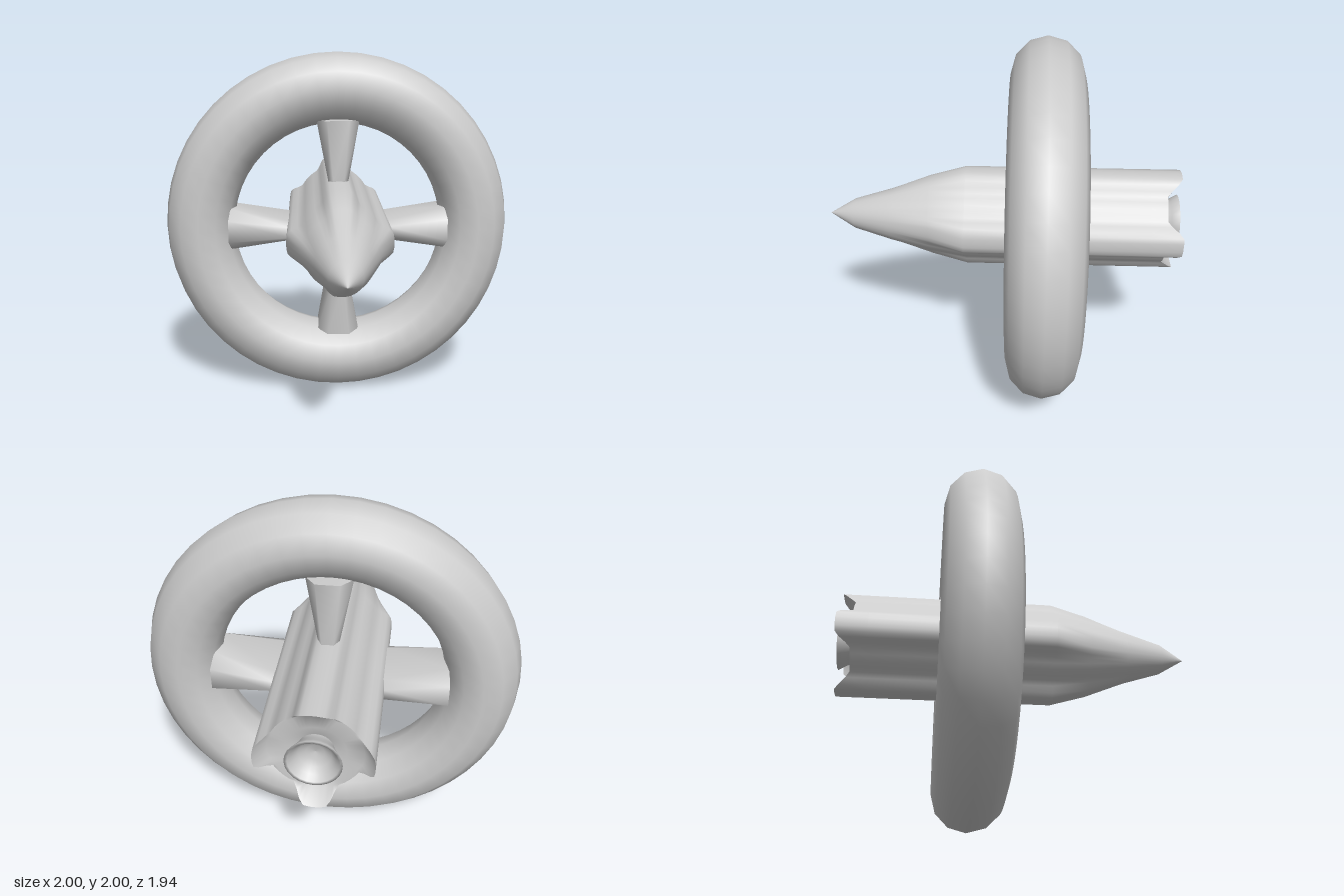
import * as THREE from 'three';

const material = new THREE.MeshStandardMaterial({ color: 0xcccccc, side: THREE.DoubleSide });
const rad = THREE.MathUtils.degToRad;

// Joins closed cross-sections, given from +z to -z and counterclockwise
function loft(rows) {
  const n = rows[0].length, index = [];
  for (let i = 0; i < rows.length - 1; i++) {
    for (let j = 0; j < n; j++) {
      const k = (j + 1) % n;
      const a = i * n + j, b = i * n + k, c = a + n, d = b + n;
      index.push(a, c, b, b, c, d);
    }
  }
  const geometry = new THREE.BufferGeometry();
  geometry.setAttribute('position', new THREE.Float32BufferAttribute(rows.flat(2), 3));
  geometry.setIndex(index);
  geometry.computeVertexNormals();
  return geometry;
}

function addMesh(parent, name, geometry) {
  const mesh = new THREE.Mesh(geometry, material);
  mesh.name = name;
  parent.add(mesh);
  return mesh;
}

// Round hull section with four ridges; each sample is an angle from a ridge axis
const ridgeAngles = [-45, -36, -28, -22, -16, -11, -5, 0, 5, 11, 16, 22, 28, 36];
function hullSection(base, top, side, zAt) {
  const row = [];
  for (let q = 0; q < 4; q++) {
    for (const deg of ridgeAngles) {
      const k = 1 - THREE.MathUtils.smoothstep(Math.abs(deg), 9, 29);
      const r = base + ((q % 2 ? top : side) - base) * k;
      const t = rad(q * 90 + deg);
      row.push([r * Math.cos(t), r * Math.sin(t), zAt(k)]);
    }
  }
  return row;
}

function hullGeometry() {
  // z, base radius, top/bottom ridge radius, side ridge radius
  const stations = [
    [0.97, 0.001, 0.001, 0.001], [0.83, 0.084, 0.084, 0.084],
    [0.62, 0.146, 0.148, 0.146], [0.4, 0.2, 0.236, 0.21],
    [0.2, 0.232, 0.293, 0.293], [-0.3, 0.235, 0.293, 0.293], [-0.8, 0.235, 0.293, 0.293],
  ];
  const rows = stations.map(([z, b, t, s]) => hullSection(b, t, s, () => z));
  rows.push(hullSection(0.235, 0.293, 0.293, (k) => -0.89 - 0.08 * k));
  return loft(rows);
}

// Rear face: slanted ridge ends, then a shallow dish in to the nozzle neck
function tailGeometry() {
  return loft([
    hullSection(0.235, 0.293, 0.293, (k) => -0.89 - 0.08 * k),
    hullSection(0.225, 0.235, 0.235, () => -0.89),
    hullSection(0.15, 0.15, 0.15, () => -0.885),
    hullSection(0.08, 0.08, 0.08, () => -0.86),
  ]);
}

// Eight-sided spoke section: a = half width, b = half depth
function spokeSection(a, b, inner, zAt) {
  const corners = [[a, -inner], [a, inner], [a * 0.52, b], [-a * 0.52, b],
    [-a, inner], [-a, -inner], [-a * 0.52, -b], [a * 0.52, -b]];
  return corners.map(([x, y]) => [x, y, zAt(x)]);
}

function buildSpoke() {
  const spoke = new THREE.Group();
  const arc = (x) => Math.sqrt(0.63 * 0.63 - x * x);
  const sides = loft([
    spokeSection(0.12, 0.17, 0.09, arc),
    spokeSection(0.057, 0.195, 0.14, () => 0.285),
    spokeSection(0.045, 0.2, 0.15, () => 0.2),
  ]);
  const cap = loft([0.001, 0.5, 1].map((s) => spokeSection(0.12 * s, 0.17 * s, 0.09 * s, arc)));
  addMesh(spoke, 'spokeBlade', sides.rotateX(-Math.PI / 2));
  addMesh(spoke, 'spokeEnd', cap.rotateX(-Math.PI / 2));
  return spoke;
}

export function createModel() {
  const model = new THREE.Group();
  model.name = 'ringedRocket';

  // Rocket body
  const body = new THREE.Group();
  body.name = 'body';
  addMesh(body, 'hull', hullGeometry());
  addMesh(body, 'tailFace', tailGeometry());

  // Flared exhaust with a hollow bowl
  const profile = [[0.085, 0.84], [0.09, 0.87], [0.1, 0.895], [0.118, 0.93], [0.14, 0.97],
    [0.125, 0.968], [0.105, 0.935], [0.08, 0.91], [0.045, 0.892], [0, 0.885]]
    .map(([r, y]) => new THREE.Vector2(r, y));
  addMesh(body, 'nozzle', new THREE.LatheGeometry(profile, 24).rotateX(-Math.PI / 2));

  // Ring and the four spokes that carry it
  const wheel = new THREE.Group();
  wheel.name = 'wheel';
  wheel.position.z = -0.235;
  addMesh(wheel, 'ring', new THREE.TorusGeometry(0.8, 0.198, 12, 48));
  ['topSpoke', 'leftSpoke', 'bottomSpoke', 'rightSpoke'].forEach((name, i) => {
    const spoke = buildSpoke();
    spoke.name = name;
    spoke.rotation.z = -i * Math.PI / 2;
    wheel.add(spoke);
  });

  model.add(body, wheel);
  body.position.y = wheel.position.y = 1;
  return model;
}
